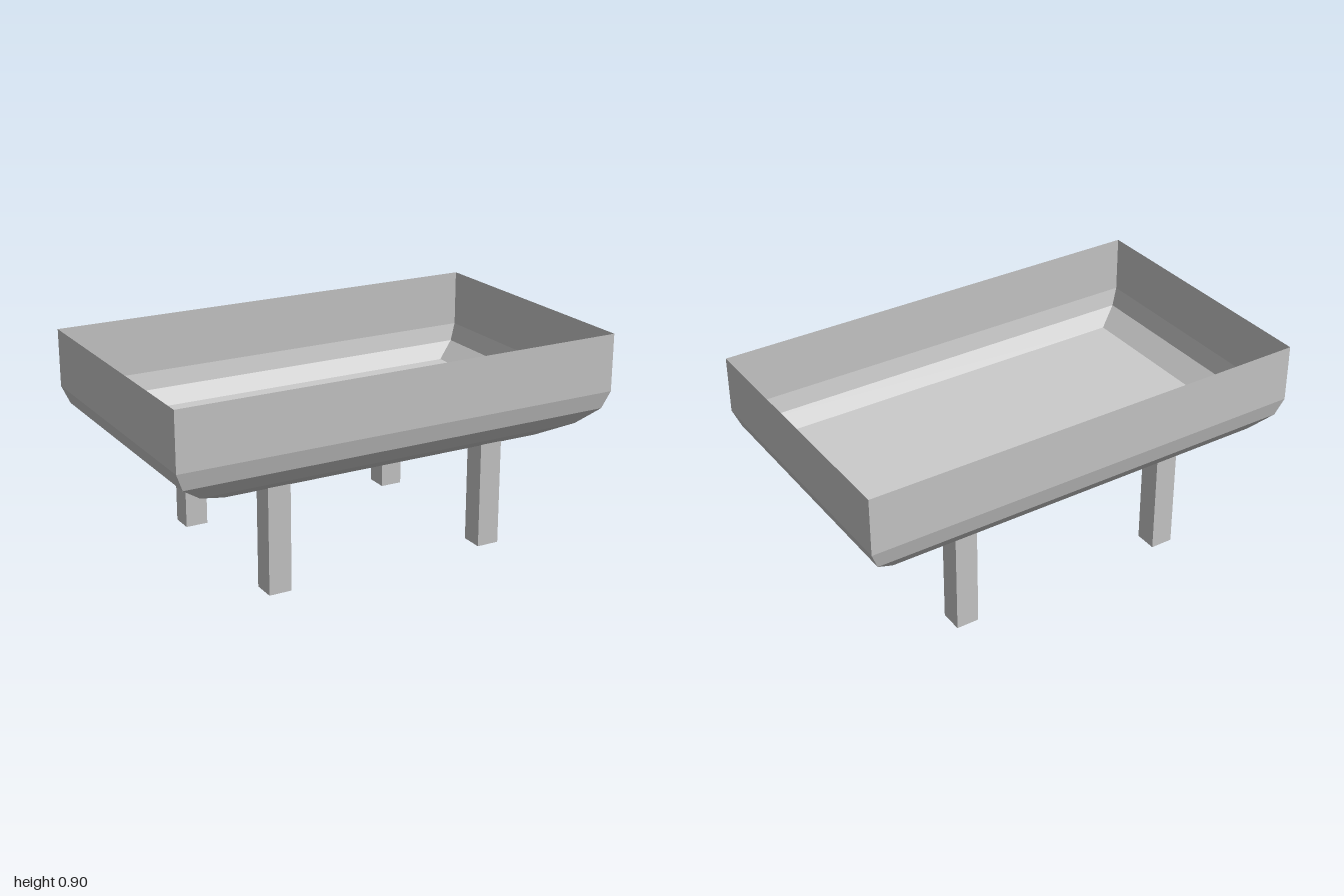
import * as THREE from 'three';

const material = new THREE.MeshStandardMaterial({ color: 0xcccccc, flatShading: true, side: THREE.DoubleSide });

// Half width, half depth and height of each rectangular ring, rim to keel
const RINGS = [
  [1, 0.6, 0.905], [1, 0.6, 0.653], [0.968, 0.582, 0.577], [0.875, 0.527, 0.51],
  [0.733, 0.441, 0.456], [0.555, 0.334, 0.422], [0.375, 0.216, 0.41],
];

// Thin open shell: four walls per pair of rings, closed underneath
function hullGeometry() {
  const positions = [];
  const corners = ([x, z, y]) => [[x, y, z], [x, y, -z], [-x, y, -z], [-x, y, z]];
  const quad = (a, b, c, d) => positions.push(...a, ...b, ...c, ...a, ...c, ...d);
  for (let i = 0; i < RINGS.length - 1; i++) {
    const upper = corners(RINGS[i]);
    const lower = corners(RINGS[i + 1]);
    for (let k = 0; k < 4; k++) {
      const n = (k + 1) % 4;
      quad(lower[k], lower[n], upper[n], upper[k]);
    }
  }
  const [a, b, c, d] = corners(RINGS[RINGS.length - 1]);
  quad(a, d, c, b);
  const geometry = new THREE.BufferGeometry();
  geometry.setAttribute('position', new THREE.Float32BufferAttribute(positions, 3));
  geometry.computeVertexNormals();
  return geometry;
}

export function createModel() {
  const group = new THREE.Group();
  group.name = 'trough';

  const basin = new THREE.Mesh(hullGeometry(), material);
  basin.name = 'basin';
  group.add(basin);

  // Flat floor inside the basin
  const [fx, fz, fy] = RINGS[3];
  const floor = new THREE.Mesh(new THREE.PlaneGeometry(2 * fx, 2 * fz).rotateX(-Math.PI / 2), material);
  floor.name = 'floor';
  floor.position.y = fy;
  group.add(floor);

  // Four square legs reaching up into the hull
  const legHeight = 0.5;
  const legGeometry = new THREE.BoxGeometry(0.1, legHeight, 0.1);
  for (const sx of [-1, 1]) {
    for (const sz of [-1, 1]) {
      const leg = new THREE.Mesh(legGeometry, material);
      leg.name = `${sz > 0 ? 'front' : 'back'}${sx > 0 ? 'Left' : 'Right'}Leg`;
      leg.position.set(sx * 0.5, legHeight / 2, sz * 0.4);
      group.add(leg);
    }
  }
  return group;
}
